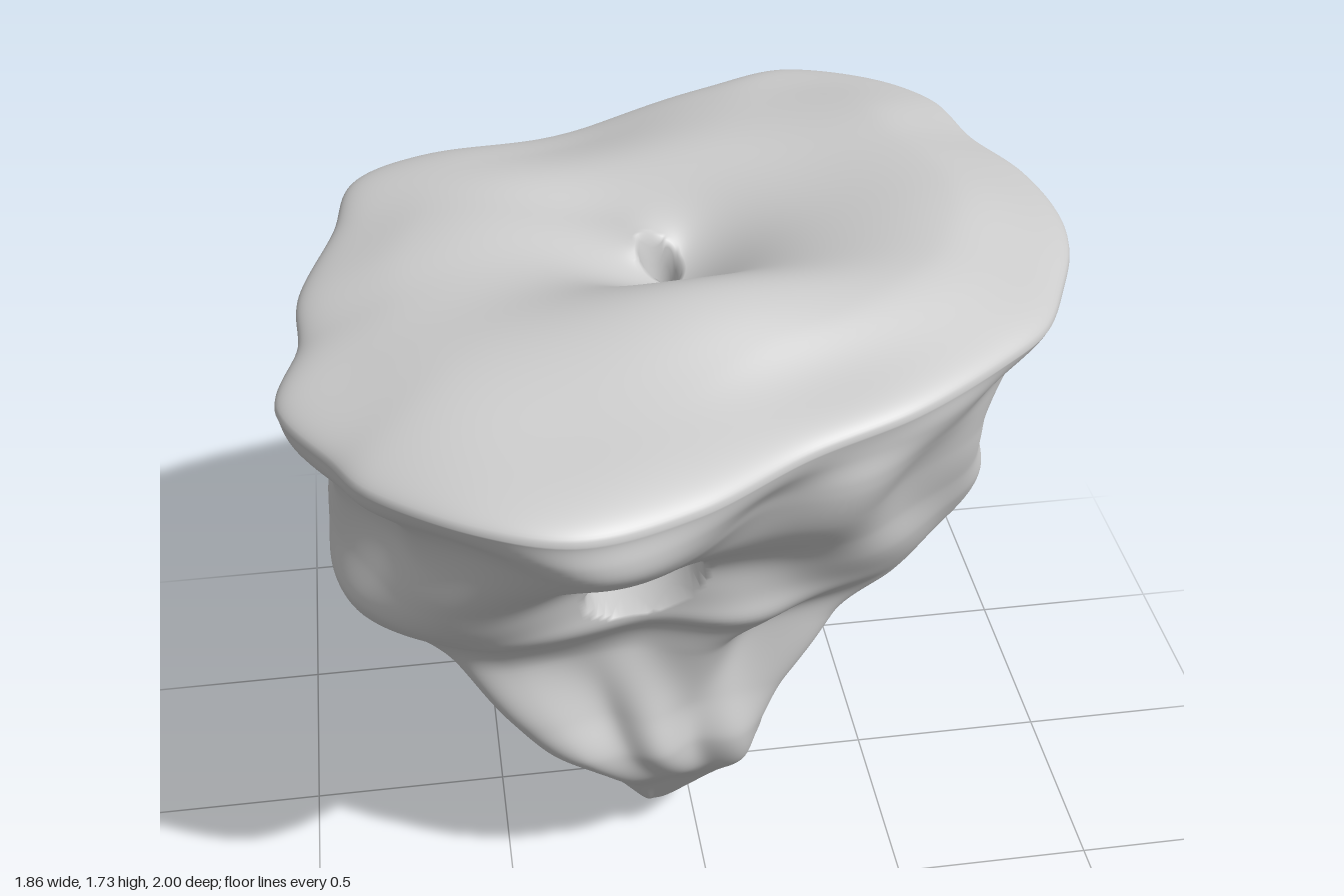
import * as THREE from 'three';

const COLS = 300, WALL = 140, TOP = 70;

// plan outlines (x, z), starting at +x and turning towards the front
const topOutline = [
  [1, -0.1], [0.98, 0.05], [0.91, 0.22], [0.81, 0.4], [0.67, 0.52], [0.43, 0.67], [0.16, 0.77], [-0.11, 0.92],
  [-0.38, 1], [-0.59, 0.94], [-0.81, 0.77], [-0.88, 0.65], [-1, 0.43], [-0.95, 0.2], [-0.95, 0], [-0.86, -0.3],
  [-0.81, -0.53], [-0.65, -0.67], [-0.43, -0.78], [-0.11, -0.87], [0.22, -0.93], [0.48, -1], [0.7, -0.92],
  [0.84, -0.75], [0.89, -0.5], [0.97, -0.3]];
const lowOutline = [
  [1, -0.05], [0.98, 0.3], [0.8, 0.7], [0.3, 0.9], [-0.3, 0.95], [-0.7, 1], [-0.94, 0.82], [-1, 0.35],
  [-0.87, -0.3], [-0.48, -0.84], [0.02, -1], [0.48, -0.8], [0.83, -0.42]];

// height, left and right edge, back and front edge
const levels = [
  [0, -0.095, -0.095, 0.13, 0.13], [0.03, -0.13, -0.05, 0.09, 0.17], [0.2, -0.21, 0.09, 0.03, 0.29],
  [0.38, -0.3, 0.16, -0.03, 0.45], [0.5, -0.4, 0.19, -0.09, 0.5], [0.62, -0.49, 0.24, -0.15, 0.485],
  [0.8, -0.62, 0.36, -0.23, 0.47], [0.9, -0.72, 0.56, -0.45, 0.51], [1.0, -0.82, 0.67, -0.61, 0.58],
  [1.1, -0.86, 0.7, -0.65, 0.66], [1.2, -0.84, 0.7, -0.7, 0.74], [1.32, -0.82, 0.74, -0.81, 0.85],
  [1.42, -0.84, 0.82, -0.9, 0.93], [1.51, -0.91, 0.905, -0.975, 0.985], [1.565, -0.93, 0.93, -1, 1]];

const smooth = THREE.MathUtils.smoothstep, lerp = THREE.MathUtils.lerp;
const bell = (a, b = 0) => Math.exp(-a * a - b * b);

function ring(points) {
  const curve = new THREE.CatmullRomCurve3(points.map(([x, z]) => new THREE.Vector3(x, 0, z)), true, 'centripetal');
  return curve.getSpacedPoints(COLS).slice(0, COLS);
}

function levelCurve(a, b) {
  return new THREE.CatmullRomCurve3(levels.map(l => new THREE.Vector3(l[a], l[0], l[b])), false, 'catmullrom', 0.4);
}

// the rim and plateau undulate and sag towards the back left
const sag = (x, z) => 0.085 * bell((x + 0.2) / 0.35, (z + 0.82) / 0.32) + 0.012 * Math.sin(6 * x + 2 * z);

// weathered wall: streaks, ledge, cave mouth; angle is measured round the section's own centre
function erode(p, angle, size) {
  const { x, y, z } = p;
  const mask = size * smooth(y, 0.05, 0.4) * (1 - smooth(y, 1.45, 1.57));
  const n = 0.02 * Math.sin(7 * angle + 5 * y) + 0.012 * Math.sin(11 * angle - 9 * y + 1)
    + 0.016 * Math.sin(12 * y + 3 * angle) * Math.sin(5 * angle + 2);
  p.x += Math.cos(angle) * n * mask;
  p.z += Math.sin(angle) * n * mask;
  p.y -= sag(x, z) * smooth(y, 1.15, 1.56);
  if (z > 0.15) {
    p.z -= 0.08 * bell((x + 0.13) / 0.27, (y - 1.14) / 0.1);
    p.z += 0.03 * bell((x + 0.05) / 0.4, (y - 0.96) / 0.05);
    // the cave widens behind its mouth
    const u = x + 0.165, v = y - 1.1 - 0.2 * u;
    const push = 1 - smooth((u / 0.12) ** 2 + (v / 0.095) ** 2, 0.5, 1.25);
    p.z -= 0.42 * push;
    p.x += 0.5 * u * push;
    p.y += 0.4 * v * push;
  }
}

// rolling plateau with a twisting hollow that drops into a narrow shaft
function plateau(x, z, s) {
  const dx = x + 0.04, dz = z + 0.12, d = Math.hypot(dx, dz);
  const swirl = Math.sin(Math.atan2(dz, dx) - 5 * d + 1);
  const inner = 1 - smooth(s, 0.7, 1);
  let h = 1.565 + 0.085 * Math.sqrt(1 - s ** 5) - sag(x, z);
  h += inner * 0.08 * bell((x - 0.08) / 0.45, (z - 0.36) / 0.2);
  h += inner * 0.045 * bell((x - 0.5) / 0.35, (z + 0.2) / 0.5);
  h += inner * 0.012 * Math.sin(7 * x + 5 * z) * Math.sin(4 * z - 3 * x);
  h -= (0.13 + 0.05 * swirl) * bell(d / 0.26);
  h -= 0.03 * bell((x + 0.12) / 0.25, (z + 0.3) / 0.12);
  return h - 0.2 * (1 - smooth(d, 0.01, 0.055));
}

function rockGeometry() {
  const upper = ring(topOutline), lower = ring(lowOutline);
  const xs = levelCurve(1, 2), zs = levelCurve(3, 4);
  const pos = [], index = [], p = new THREE.Vector3();
  let rim = [];

  // side wall, from the tip up to the rim
  for (let i = 0; i <= WALL; i++) {
    const ex = xs.getPoint(i / WALL), ez = zs.getPoint(i / WALL);
    const blend = smooth(ex.y, 1.0, 1.52);
    const cx = (ex.z + ex.x) / 2, cz = (ez.z + ez.x) / 2;
    const hx = (ex.z - ex.x) / 2, hz = (ez.z - ez.x) / 2;
    rim = [];
    for (let j = 0; j < COLS; j++) {
      const u = lerp(lower[j].x, upper[j].x, blend), w = lerp(lower[j].z, upper[j].z, blend);
      p.set(cx + u * hx, Math.max(0, ex.y), cz + w * hz);
      erode(p, Math.atan2(w, u), Math.min(1, 2 * hx));
      pos.push(p.x, p.y, p.z);
      rim.push(p.clone());
    }
  }
  // plateau, from the rim in to the shaft; rows crowd together at both ends
  for (let i = 1; i <= TOP; i++) {
    const t = i / TOP;
    const s = 1 - lerp(t, t * t * (3 - 2 * t), 0.85);
    for (const r of rim) {
      const x = lerp(-0.04, r.x, s), z = lerp(-0.12, r.z, s);
      pos.push(x, plateau(x, z, s), z);
    }
  }
  for (let i = 0; i < WALL + TOP; i++) {
    for (let j = 0; j < COLS; j++) {
      const k = (j + 1) % COLS;
      const a = i * COLS + j, b = i * COLS + k, c = a + COLS, d = b + COLS;
      index.push(a, c, b, b, c, d);
    }
  }
  const g = new THREE.BufferGeometry();
  g.setAttribute('position', new THREE.Float32BufferAttribute(pos, 3));
  g.setIndex(index);
  g.computeVertexNormals();
  return g;
}

export function createModel() {
  const group = new THREE.Group();
  group.name = 'floatingRock';
  const rock = new THREE.Mesh(rockGeometry(),
    new THREE.MeshStandardMaterial({ color: 0xcccccc, side: THREE.DoubleSide }));
  rock.name = 'rockIsland';
  group.add(rock);
  return group;
}
